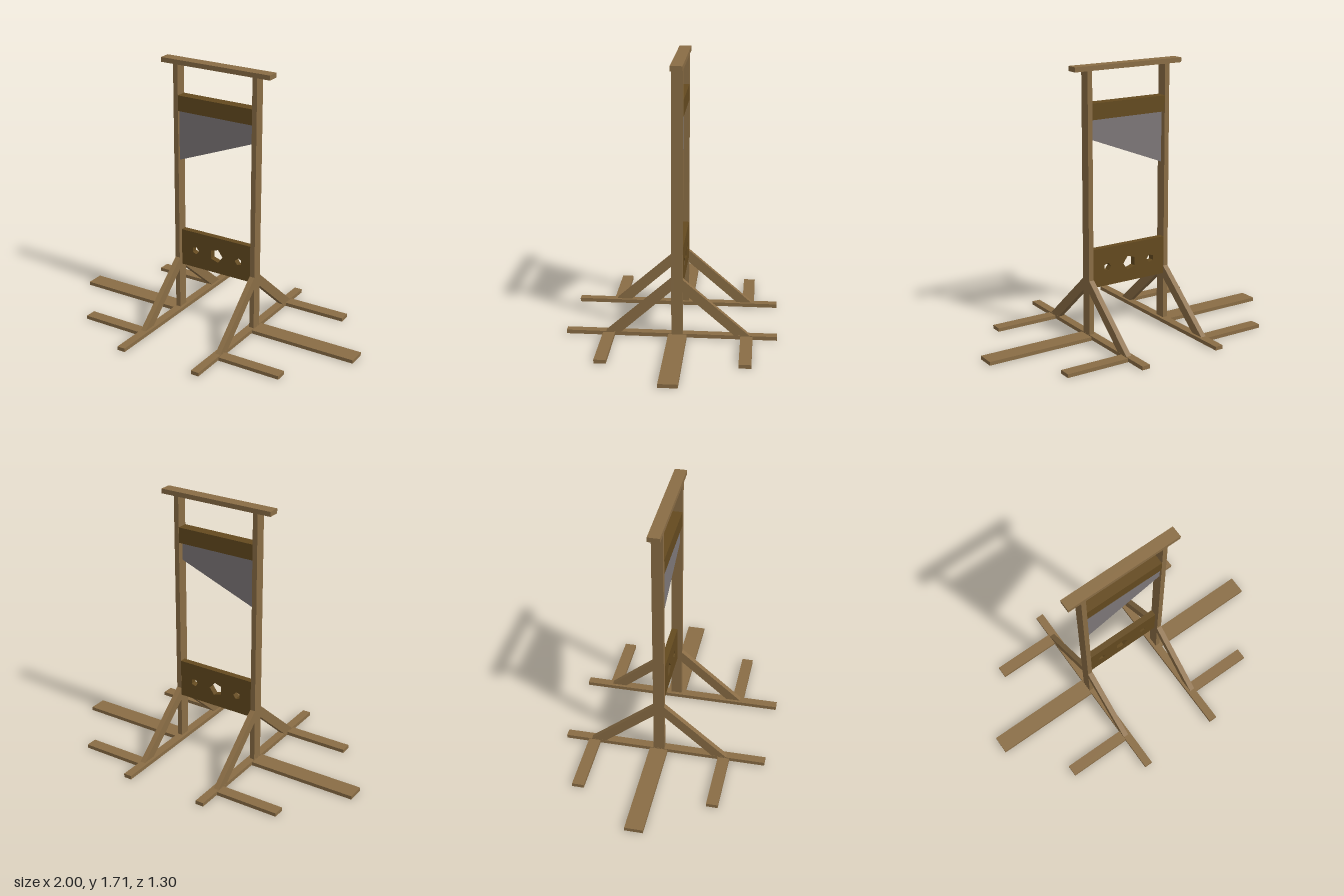
import * as THREE from 'three';

const make = (name, hex) => {
  const m = new THREE.MeshStandardMaterial({ color: hex });
  m.name = name;
  return m;
};

export function createModel() {
  const lightWood = make('lightWood', 0x8a6d45);
  const darkWood = make('darkWood', 0x644a1f);
  const steel = make('steel', 0x7d7778);
  const model = new THREE.Group();
  model.name = 'guillotine';

  const add = (name, geometry, material, parent = model) => {
    const mesh = new THREE.Mesh(geometry, material);
    mesh.name = name;
    parent.add(mesh);
    return mesh;
  };

  // Box given by its minimum and maximum along each axis
  const beam = (name, [x0, x1], [y0, y1], [z0, z1], material, parent) => {
    const mesh = add(name, new THREE.BoxGeometry(x1 - x0, y1 - y0, z1 - z0), material, parent);
    mesh.position.set((x0 + x1) / 2, (y0 + y1) / 2, (z0 + z1) / 2);
    return mesh;
  };

  const polygon = (points) => new THREE.Shape(points.map(([x, y]) => new THREE.Vector2(x, y)));
  const extrude = (shape, depth) => new THREE.ExtrudeGeometry(shape, { depth, bevelEnabled: false });

  // Diagonal brace: a (z, y) outline extruded across the width of the post
  const brace = (name, points, side, parent) => {
    const geometry = extrude(polygon(points), 0.034);
    geometry.rotateY(-Math.PI / 2);
    geometry.translate(side * 0.278 + 0.017, 0, 0);
    add(name, geometry, lightWood, parent);
  };

  // Two mirrored side frames
  for (const side of [1, -1]) {
    const frame = new THREE.Group();
    frame.name = side > 0 ? 'leftFrame' : 'rightFrame';
    model.add(frame);
    const span = (a, b) => (side > 0 ? [a, b] : [-b, -a]);

    beam('post', span(0.263, 0.295), [0.004, 1.68], [-0.07, 0], lightWood, frame);
    const rail = beam('footRail', span(0.243, 0.296), [0.01, 0.034], [-0.65, 0.65], lightWood, frame);
    rail.rotation.x = -0.0046;

    brace('frontBrace', [[0, 0.31], [0.315, 0.03], [0.41, 0.03], [0, 0.39]], side, frame);
    brace('backBrace', [[-0.07, 0.305], [-0.07, 0.385], [-0.49, 0.025], [-0.395, 0.025]], side, frame);

    // Outrigger planks
    beam('middlePlank', span(0.27, 1), [0.005, 0.028], [-0.095, 0.02], lightWood, frame);
    beam('backPlank', span(0.27, 0.71), [0.005, 0.028], [-0.5, -0.425], lightWood, frame);
    beam('frontPlank', span(0.27, 0.71), [0.007, 0.03], [0.35, 0.423], lightWood, frame);
  }

  // Head beam and the weight that carries the blade
  beam('headBeam', [-0.382, 0.382], [1.68, 1.71], [-0.073, 0.002], lightWood);
  beam('bladeWeight', [-0.265, 0.265], [1.385, 1.485], [-0.069, -0.001], darkWood);

  // Slanted blade
  const blade = extrude(polygon([[-0.265, 1.06], [0.265, 1.265], [0.265, 1.39], [-0.265, 1.39]]), 0.02);
  blade.translate(0, 0, -0.035);
  add('blade', blade, steel);

  // Stock board with one large and two small five-sided holes
  const board = polygon([[-0.265, 0.335], [0.265, 0.335], [0.265, 0.58], [-0.265, 0.58]]);
  for (const [x, radius, turn] of [[-0.004, 0.047, 0], [-0.16, 0.026, 0], [0.16, 0.026, Math.PI]]) {
    const corners = [];
    for (let i = 0; i < 5; i++) {
      const a = turn - (i * Math.PI * 2) / 5;
      corners.push(new THREE.Vector2(x + radius * Math.cos(a), 0.454 + radius * Math.sin(a)));
    }
    board.holes.push(new THREE.Path(corners));
  }
  const stock = extrude(board, 0.04);
  stock.translate(0, 0, -0.069);
  add('stockBoard', stock, darkWood);

  return model;
}
